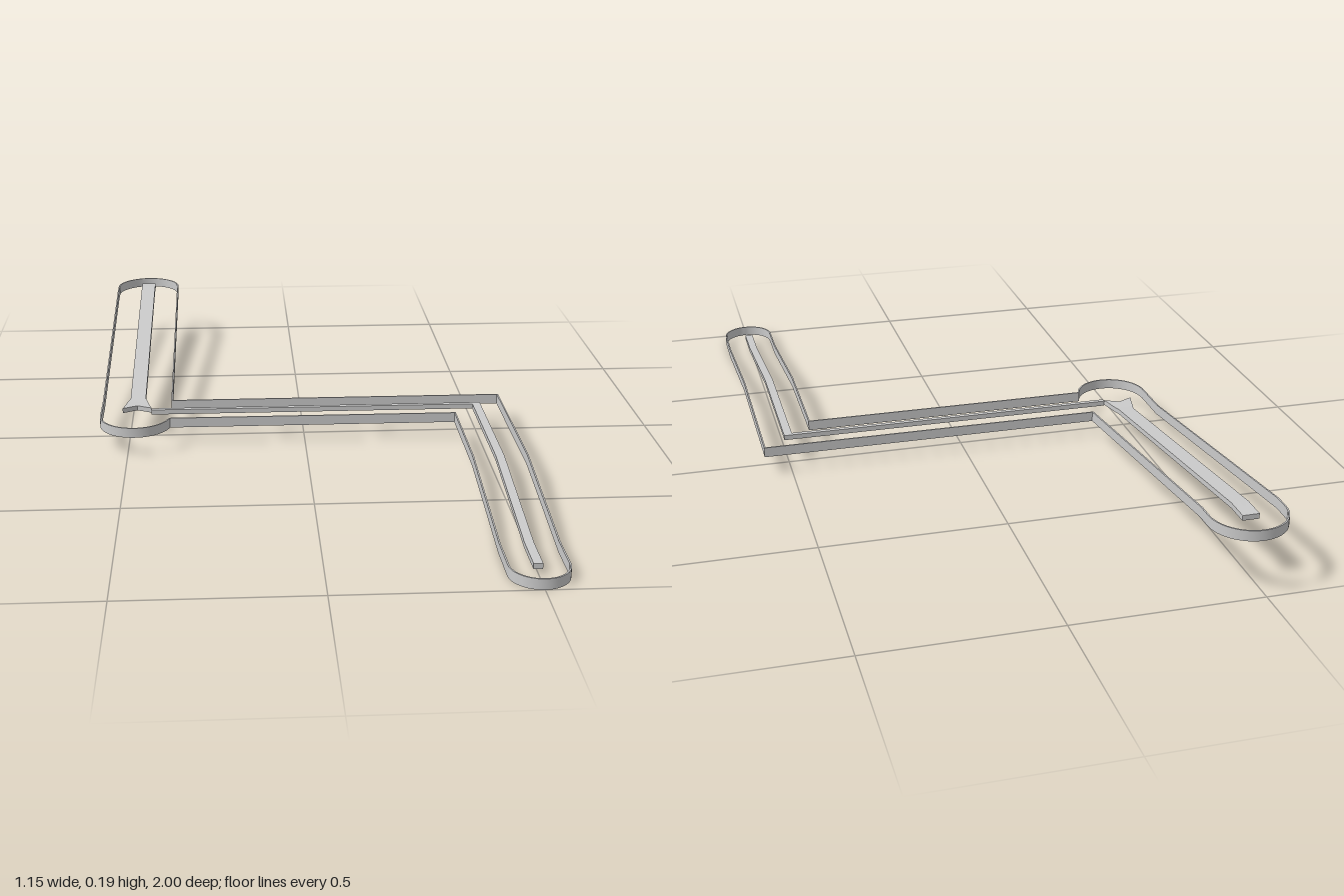
import * as THREE from 'three';
import { toCreasedNormals } from 'three/addons/utils/BufferGeometryUtils.js';

// height of the track's underside along z: [z, y]
const RAMP = [[-1.1, 0.157], [-0.858, 0.157], [-0.065, 0.055], [0.4, 0.055], [0.81, 0], [1.1, 0]];
function rampY(z) {
  let i = 0;
  while (i < RAMP.length - 2 && z > RAMP[i + 1][0]) i++;
  const [z0, y0] = RAMP[i], [z1, y1] = RAMP[i + 1];
  return y0 + (y1 - y0) * (z - z0) / (z1 - z0);
}

// sweep a box section between two (x, z) edges; left is the edge left of travel
function strip(name, left, right, lo, hi, closed = false) {
  const n = left.length, pos = [];
  const ring = i => {
    const [ax, az] = left[i % n], [bx, bz] = right[i % n];
    return [[ax, rampY(az) + hi, az], [bx, rampY(bz) + hi, bz],
      [bx, rampY(bz) + lo, bz], [ax, rampY(az) + lo, az]];
  };
  const quad = (a, b, c, d) => pos.push(...a, ...b, ...c, ...a, ...c, ...d);
  for (let i = 0; i < (closed ? n : n - 1); i++) {
    const p = ring(i), q = ring(i + 1);
    for (let k = 0; k < 4; k++) quad(p[k], p[(k + 1) % 4], q[(k + 1) % 4], q[k]);
  }
  if (!closed) {
    const s = ring(0), e = ring(n - 1);
    quad(s[0], s[3], s[2], s[1]);
    quad(e[0], e[1], e[2], e[3]);
  }
  const geo = new THREE.BufferGeometry();
  geo.setAttribute('position', new THREE.Float32BufferAttribute(pos, 3));
  const mesh = new THREE.Mesh(toCreasedNormals(geo, 0.4),
    new THREE.MeshStandardMaterial({ color: 0xcccccc, side: THREE.DoubleSide }));
  mesh.name = name;
  return mesh;
}

function arc(cx, cz, r, a0, a1, steps = 24) {
  return Array.from({ length: steps + 1 }, (_, i) => {
    const a = a0 + (a1 - a0) * i / steps;
    return [cx + r * Math.cos(a), cz + r * Math.sin(a)];
  });
}

// offset a closed outline inward with mitred corners
function inset(pts, t) {
  const n = pts.length;
  const normal = (a, b) => {
    const dx = b[0] - a[0], dz = b[1] - a[1], l = Math.hypot(dx, dz);
    return [-dz / l, dx / l];
  };
  return pts.map((p, i) => {
    const u = normal(pts[(i + n - 1) % n], p), v = normal(p, pts[(i + 1) % n]);
    const k = t / (1 + u[0] * v[0] + u[1] * v[1]);
    return [p[0] + (u[0] + v[0]) * k, p[1] + (u[1] + v[1]) * k];
  });
}

export function createModel() {
  const group = new THREE.Group();
  group.name = 'zigzagTrack';

  // thin border wall around the whole track
  const outline = [
    ...arc(-0.479, -0.899, 0.101, Math.PI, 2 * Math.PI),
    [-0.378, -0.858], [-0.378, -0.065], [0.575, -0.065], [0.575, 0.4], [0.575, 0.81],
    ...arc(0.5, 0.925, 0.075, 0, Math.PI),
    [0.425, 0.81], [0.425, 0.4], [0.425, 0.081],
    ...arc(-0.479, 0.052, 0.101, 0.291, Math.PI),
    [-0.58, -0.065], [-0.58, -0.858],
  ];
  group.add(strip('borderWall', outline, inset(outline, 0.004), 0, 0.028, true));

  // narrow centre rib along the middle and the front arm
  const zs = [0.4, 0.81, 0.922];
  group.add(strip('narrowRib',
    [[-0.437, 0], [0.51, 0], ...zs.map(z => [0.51, z])],
    [[-0.437, 0.013], [0.487, 0.013], ...zs.map(z => [0.487, z])], 0.014, 0.028));

  // wide rib on the back arm, flaring to a notched end, as two mirrored halves
  const cx = -0.478;
  const edge = [[0.022, -0.924], [0.022, -0.858], [0.022, -0.075], [0.03, -0.045], [0.034, -0.025], [0.041, 0.002]];
  const centre = edge.map(([, z]) => [cx, Math.min(z, -0.018)]);
  centre[4][1] = -0.03;
  for (const s of [1, -1]) {
    const side = edge.map(([w, z]) => [cx + s * w, z]);
    group.add(s > 0 ? strip('wideRibLeft', side, centre, 0.016, 0.03)
      : strip('wideRibRight', centre, side, 0.016, 0.03));
  }
  return group;
}
